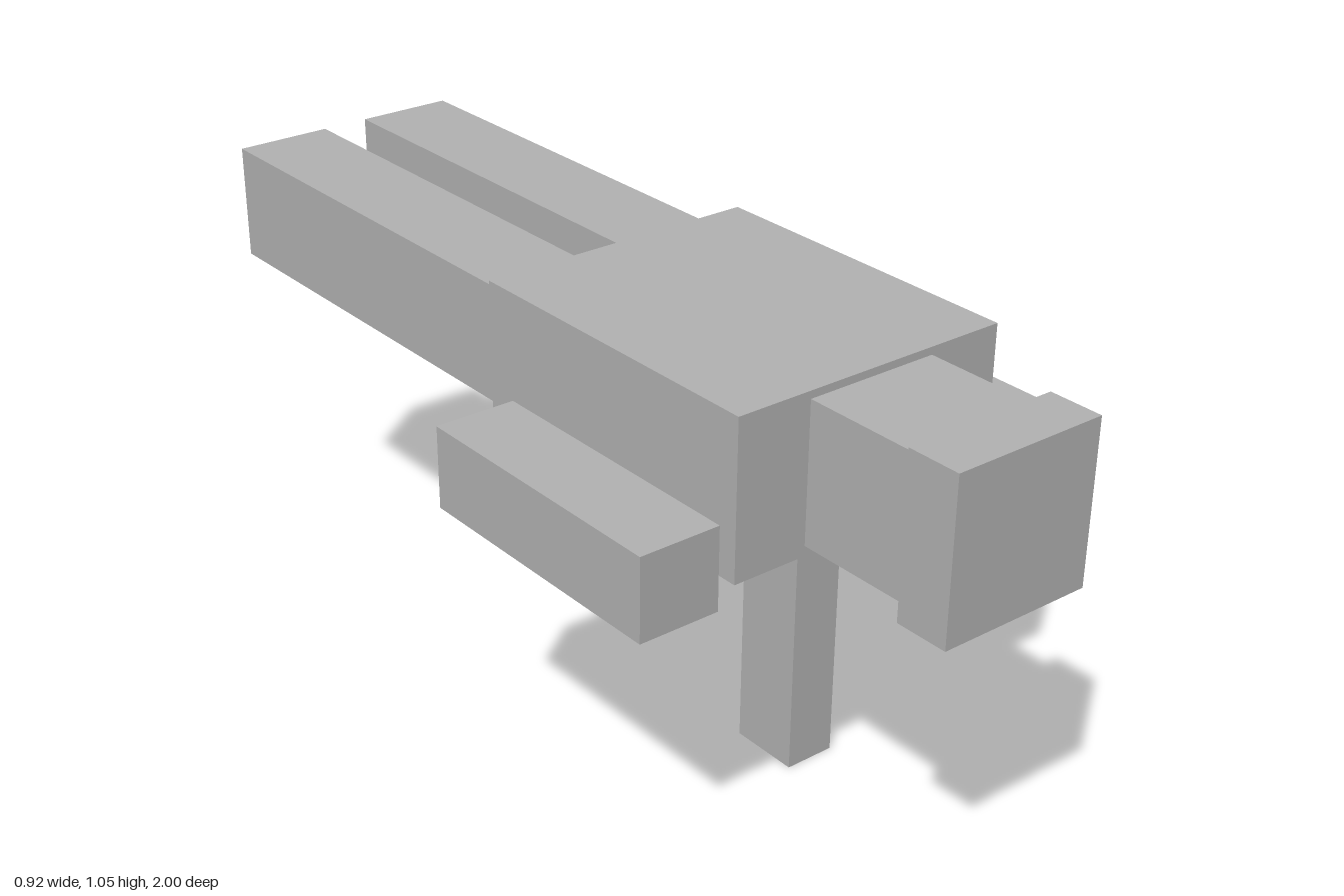
import * as THREE from 'three';

export function createModel() {
  const model = new THREE.Group();
  model.name = 'lyingBlockFigure';

  const grey = new THREE.MeshStandardMaterial({ color: 0xb2b2b2 });
  grey.name = 'plain grey';

  // Box given by its extents along each axis
  function block(name, [x0, x1], [y0, y1], [z0, z1]) {
    const mesh = new THREE.Mesh(new THREE.BoxGeometry(x1 - x0, y1 - y0, z1 - z0), grey);
    mesh.position.set((x0 + x1) / 2, (y0 + y1) / 2, (z0 + z1) / 2);
    mesh.name = name;
    model.add(mesh);
  }

  // Torso, head and the flat cap at its end
  block('torso', [-0.291, 0.289], [0.742, 1.05], [-0.037, 0.648]);
  block('head', [-0.138, 0.134], [0.762, 1.035], [0.648, 0.892]);
  block('headCap', [-0.159, 0.156], [0.739, 1.054], [0.892, 1]);

  // Arms beside the torso and legs stretched behind it
  for (const [side, s] of [['left', 1], ['right', -1]]) {
    const span = (a, b) => (s > 0 ? [a, b] : [-b, -a]);
    block(side + 'Arm', span(0.295, 0.46), [0.676, 0.84], [0.033, 0.613]);
    block(side + 'Leg', span(0.05, 0.252), [0.777, 1.013], [-1, -0.037]);
  }

  // Single post holding the figure up, off centre
  block('supportPost', [0.15, 0.26], [0, 0.742], [0.17, 0.322]);

  return model;
}
